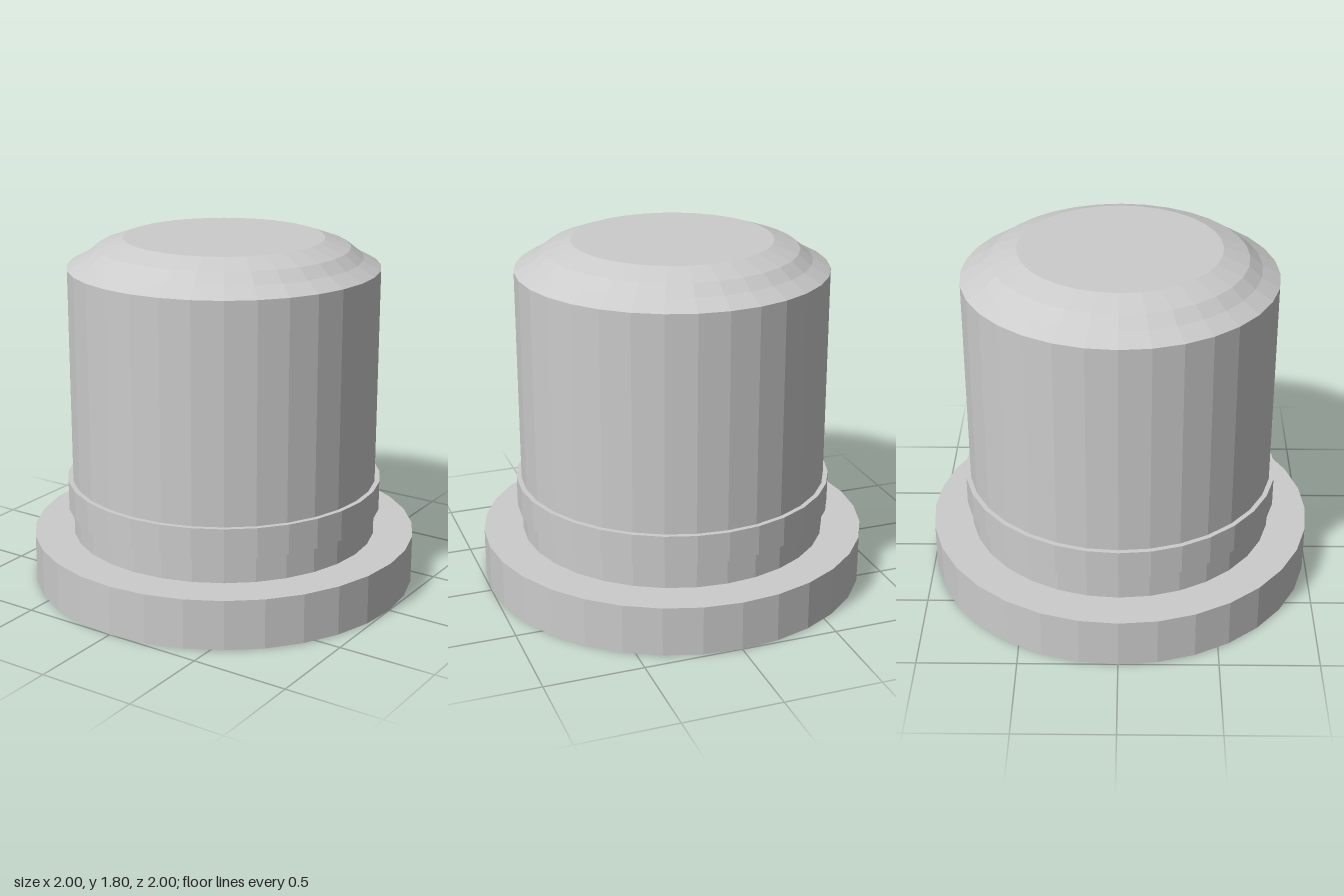
import * as THREE from 'three';

const SIDES = 32;
const material = new THREE.MeshStandardMaterial({
  color: 0xcccccc, flatShading: true, side: THREE.DoubleSide,
});

// Turned part from [radius, height] pairs, listed bottom to top along the outside
function turned(name, profile) {
  const points = profile.map(([r, y]) => new THREE.Vector2(r, y));
  const mesh = new THREE.Mesh(new THREE.LatheGeometry(points, SIDES), material);
  mesh.name = name;
  return mesh;
}

export function createModel() {
  const group = new THREE.Group();
  group.name = 'flangedCap';

  // Base flange: countersunk opening below, hollow behind the lip
  group.add(turned('baseFlange', [
    [0.64, 0.06], [0.8, 0], [1, 0], [1, 0.255], [0.795, 0.255],
  ]));
  group.add(turned('flangeInnerStep', [[0.795, 0.2], [0.99, 0.2]]));

  // Thin hollow wall with a raised band
  group.add(turned('bodyWall', [
    [0.795, 0.2], [0.795, 0.39], [0.82, 0.39], [0.82, 0.545], [0.795, 0.545], [0.795, 1.655],
  ]));

  // Bevelled closed top
  group.add(turned('topCap', [
    [0.795, 1.655], [0.705, 1.703], [0.64, 1.755], [0.51, 1.8], [0, 1.8],
  ]));

  return group;
}
